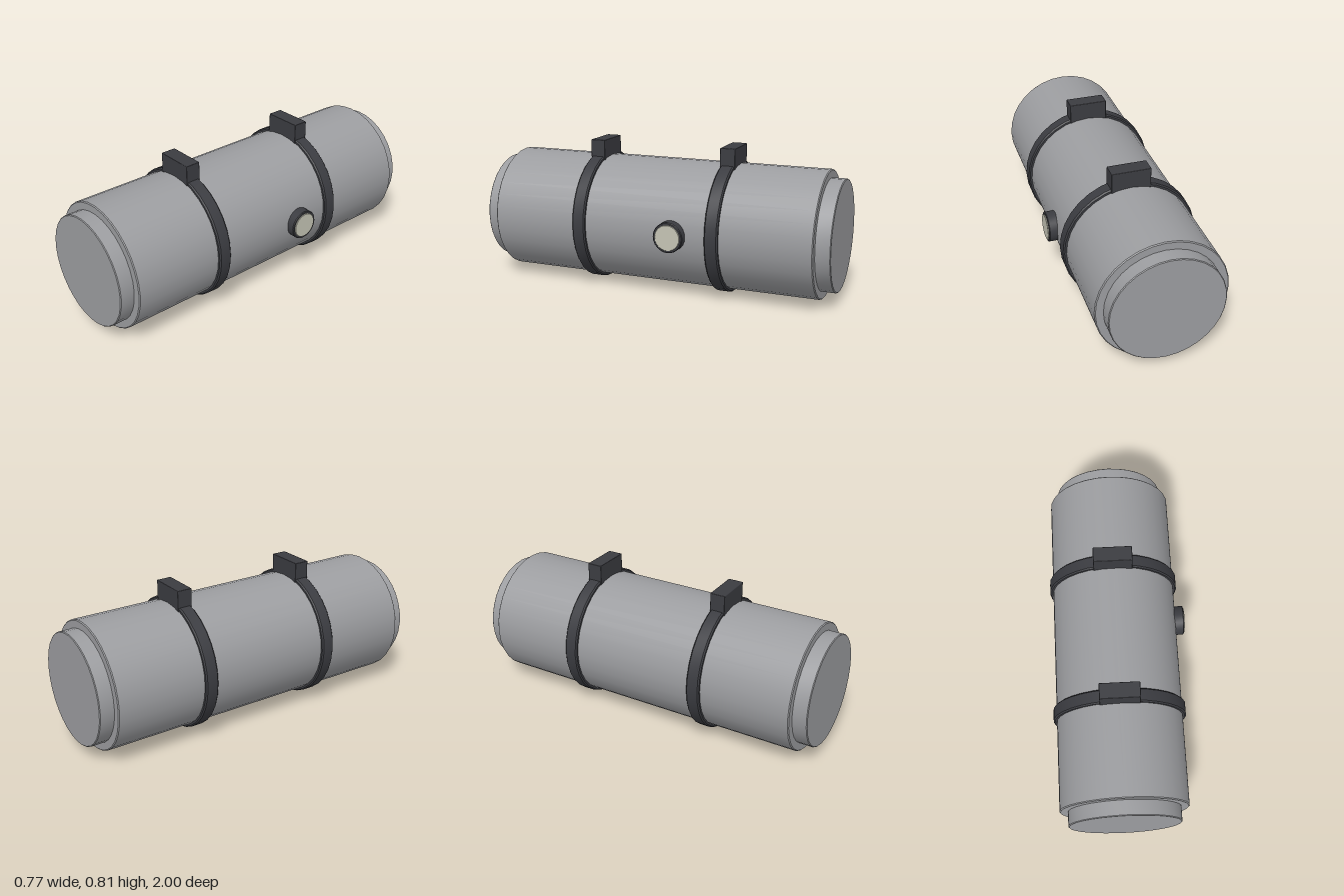
import * as THREE from 'three';
import { toCreasedNormals } from 'three/addons/utils/BufferGeometryUtils.js';
import { RoundedBoxGeometry } from 'three/addons/geometries/RoundedBoxGeometry.js';

export function createModel() {
  const group = new THREE.Group();
  const steel = new THREE.MeshStandardMaterial({ color: 0x9c9da0 });
  const dark = new THREE.MeshStandardMaterial({ color: 0x3b3c41 });
  const glass = new THREE.MeshStandardMaterial({ color: 0xc4c3b4 });
  const cx = -0.015, cy = 0.37;

  // Solid disc along z with a small chamfer on both rims
  function disc(radius, length, bevel, segments = 32) {
    const h = length / 2;
    const profile = [
      [0, -h], [radius - bevel, -h], [radius, -h + bevel],
      [radius, h - bevel], [radius - bevel, h], [0, h],
    ].map(([x, y]) => new THREE.Vector2(x, y));
    const geometry = new THREE.LatheGeometry(profile, segments);
    geometry.rotateX(Math.PI / 2);
    return toCreasedNormals(geometry, 0.5);
  }

  function add(name, geometry, material, x, y, z) {
    const mesh = new THREE.Mesh(geometry, material);
    mesh.name = name;
    mesh.position.set(x, y, z);
    group.add(mesh);
    return mesh;
  }

  // Main tank
  add('tankBody', disc(0.35, 1.84, 0.005), steel, cx, cy, 0);

  // Stepped ends, straps and mounting blocks, mirrored front to back
  for (const [side, s] of [['front', 1], ['back', -1]]) {
    add(side + 'EndCap', disc(0.305, 0.1, 0.004), steel, cx, cy, s * 0.95);
    add(side + 'Strap', disc(0.368, 0.075, 0.007), dark, cx, cy, s * 0.385);
    add(side + 'MountBlock', new RoundedBoxGeometry(0.214, 0.125, 0.085, 1, 0.004),
      dark, cx, 0.7525, s * 0.385);
  }

  // Round gauge on the left flank
  const bezel = add('gaugeBezel', disc(0.083, 0.06, 0.004, 24), dark, 0.348, cy, -0.155);
  const face = add('gaugeFace', disc(0.07, 0.02, 0.002, 24), glass, 0.373, cy, -0.155);
  bezel.rotation.y = face.rotation.y = Math.PI / 2;

  return group;
}
